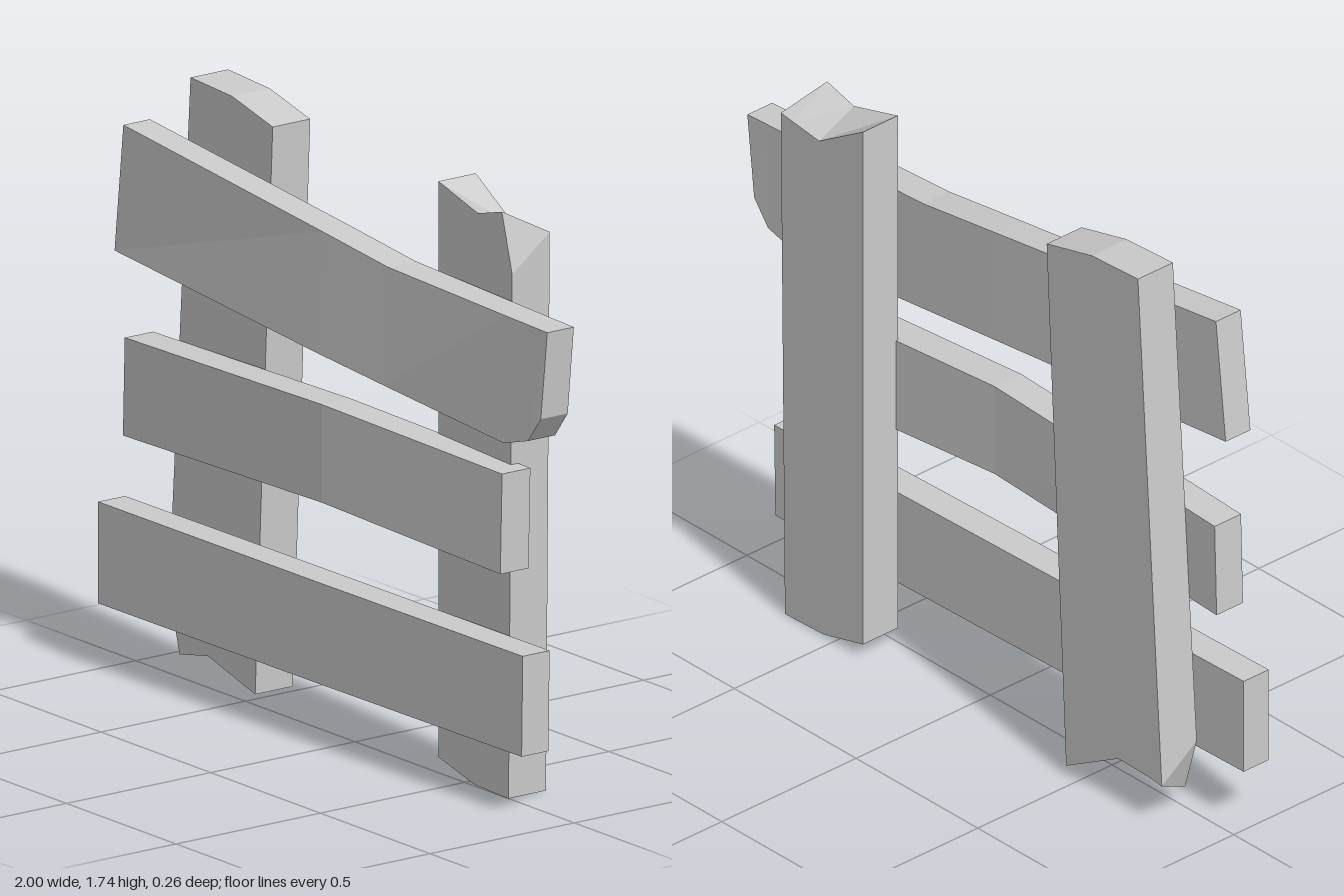
import * as THREE from 'three';

const material = new THREE.MeshStandardMaterial({ color: 0xcccccc, flatShading: true });

// Lofts a board along x through four-cornered sections:
// front top, front bottom, back bottom, back top.
function board(name, sections) {
  const positions = [];
  const tri = (...corners) => corners.forEach((c) => positions.push(...c));
  for (let i = 0; i < sections.length - 1; i++) {
    for (let k = 0; k < 4; k++) {
      const n = (k + 1) % 4;
      const [a, b] = [sections[i][k], sections[i][n]];
      const [d, c] = [sections[i + 1][k], sections[i + 1][n]];
      tri(a, b, d);
      tri(b, c, d);
    }
  }
  const s = sections[0];
  const e = sections[sections.length - 1];
  tri(s[0], s[3], s[2]);
  tri(s[0], s[2], s[1]);
  tri(e[0], e[1], e[2]);
  tri(e[0], e[2], e[3]);
  const geometry = new THREE.BufferGeometry();
  geometry.setAttribute('position', new THREE.Float32BufferAttribute(positions, 3));
  geometry.computeVertexNormals();
  const mesh = new THREE.Mesh(geometry, material);
  mesh.name = name;
  return mesh;
}

// Upright: constant depth, with separate front and back end heights for the chipped ends.
// Row: x top, x bottom, front top y, back top y, front bottom y, back bottom y
const post = (name, rows) => board(name, rows.map(([xt, xb, ft, bt, fb, bb]) => [
  [xt, ft, 0], [xb, fb, 0], [xb, bb, -0.13], [xt, bt, -0.13],
]));

// Cross plank: same outline front and back, bent and twisted in depth.
// Row: x top, y top, x bottom, y bottom, front z at top, front z at bottom, back z
const plank = (name, rows) => board(name, rows.map(([xt, yt, xb, yb, zt, zb, back]) => [
  [xt, yt, zt], [xb, yb, zb], [xb, yb, back], [xt, yt, back],
]));

export function createModel() {
  const group = new THREE.Group();
  group.name = 'woodenFence';

  // Uprights, each with one chipped and notched end
  group.add(post('leftPost', [
    [0.38, 0.38, 1.70, 1.70, 0.045, 0.045],
    [0.56, 0.54, 1.65, 1.59, 0.005, 0.005],
    [0.67, 0.66, 1.68, 1.604, 0, 0],
    [0.717, 0.70, 1.51, 1.61, 0, 0],
  ]));
  group.add(post('rightPost', [
    [-0.75, -0.848, 1.735, 1.735, 0.235, 0.14],
    [-0.71, -0.80, 1.733, 1.733, 0.065, 0.146],
    [-0.56, -0.67, 1.725, 1.725, 0.09, 0.15],
    [-0.375, -0.455, 1.68, 1.68, 0.03, 0.03],
  ]));

  // Crooked top plank with a worn lower corner
  group.add(plank('topPlank', [
    [-0.885, 1.59, -0.925, 1.22, 0.13, 0.13, 0.038],
    [0, 1.487, 0, 1.14, 0.113, 0.13, 0.017],
    [0.29, 1.452, 0.29, 1.113, 0.108, 0.12, 0.012],
    [0.81, 1.432, 0.81, 1.065, 0.097, 0.1, 0.004],
    [0.915, 1.428, 0.915, 1.095, 0.094, 0.096, 0.002],
    [0.998, 1.425, 0.97, 1.17, 0.092, 0.093, 0],
  ]));

  // Bowed middle plank
  group.add(plank('middlePlank', [
    [-0.925, 0.963, -0.933, 0.68, 0.095, 0.095, -0.003],
    [0, 0.99, 0, 0.708, 0.115, 0.115, 0.016],
    [0.763, 0.96, 0.755, 0.67, 0.07, 0.07, -0.028],
  ]));

  // Nearly straight bottom plank
  group.add(plank('bottomPlank', [
    [-1, 0.48, -1, 0.188, 0.13, 0.13, 0.037],
    [0, 0.475, 0, 0.184, 0.115, 0.115, 0.018],
    [0.89, 0.47, 0.885, 0.18, 0.095, 0.095, 0.002],
  ]));

  return group;
}
